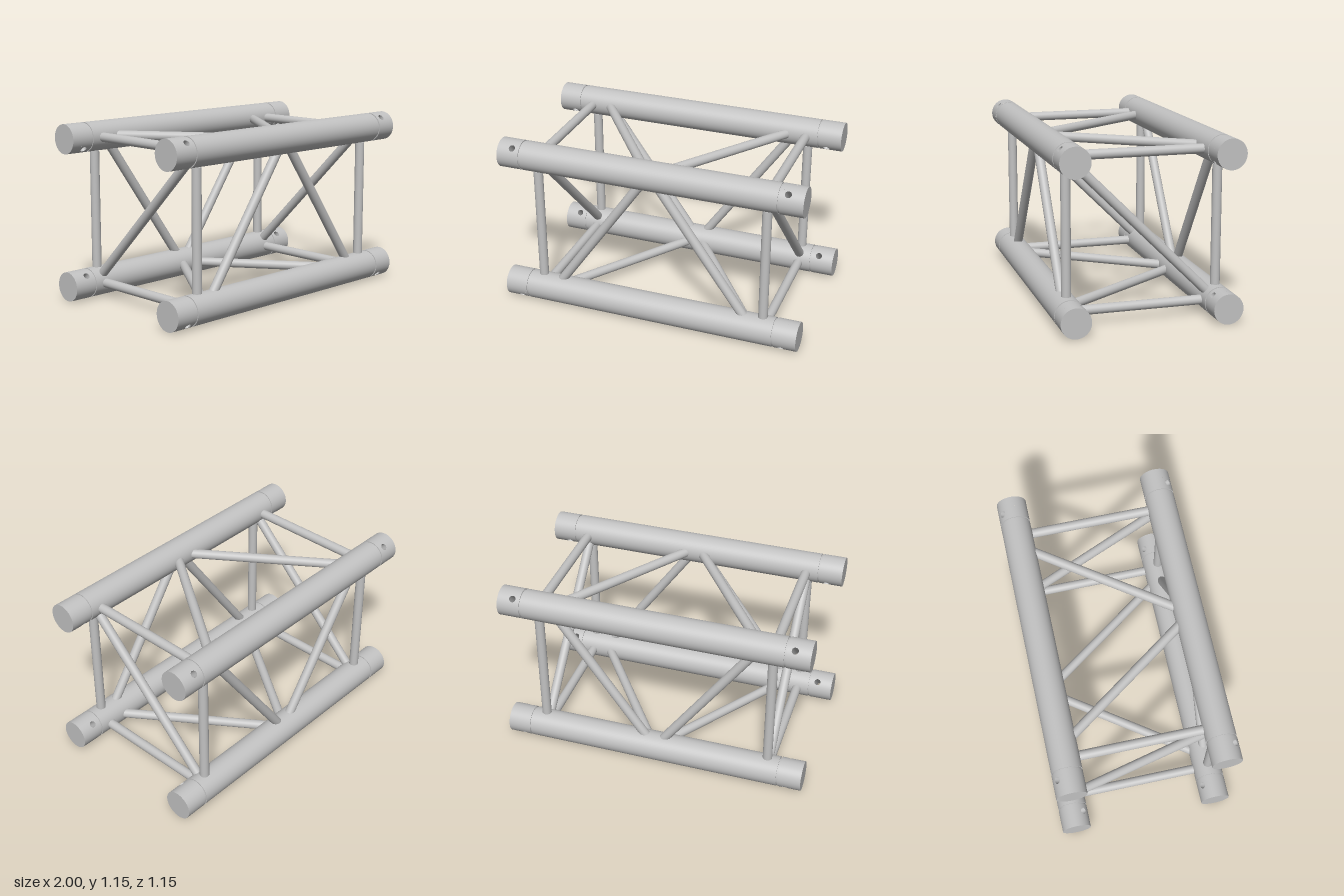
import * as THREE from 'three';
import { mergeGeometries } from 'three/addons/utils/BufferGeometryUtils.js';

const R = 0.0957;        // chord radius
const HALF = 0.4793;     // chord axis offset from the truss axis
const MID = 0.575;       // height of the truss axis
const BAR = 0.0305;      // brace radius
const SLEEVE = 0.852;    // where the end sleeve starts
const HOLE_X = 0.9, HOLE = 0.021, PAD = 0.032;

const aluminium = new THREE.MeshStandardMaterial({ color: 0xc2c2c2 });
aluminium.name = 'aluminium grey';

function mesh(name, geometry) {
  const m = new THREE.Mesh(geometry, aluminium);
  m.name = name;
  return m;
}

// Cylinder lying along x between x0 and x1
function rod(r, x0, x1, open = false, start = 0, sweep = Math.PI * 2) {
  const g = new THREE.CylinderGeometry(r, r, x1 - x0, sweep > 6 ? 64 : 28, 1, open, start, sweep);
  return g.rotateZ(-Math.PI / 2).translate((x0 + x1) / 2, 0, 0);
}

// Square piece of the sleeve wall around a pin hole, bent onto the cylinder
function holePatch() {
  const g = new THREE.RingGeometry(HOLE, PAD, 32, 3).rotateX(-Math.PI / 2);
  const p = g.attributes.position, n = g.attributes.normal;
  for (let i = 0; i < p.count; i++) {
    const x = p.getX(i), z = p.getZ(i), d = Math.hypot(x, z);
    const t = (d - HOLE) / (PAD - HOLE);
    const s = 1 + t * (d / Math.max(Math.abs(x), Math.abs(z)) - 1);
    const y = Math.sqrt(R * R - z * z * s * s);
    p.setXYZ(i, x * s, y, z * s);
    n.setXYZ(i, 0, y / R, z * s / R);
  }
  return g;
}

// Inner wall of the pin hole, running right through the sleeve
function holeWall() {
  const g = new THREE.CylinderGeometry(HOLE, HOLE, 2, 32, 1, true);
  const p = g.attributes.position;
  for (let i = 0; i < p.count; i++) {
    p.setY(i, Math.sign(p.getY(i)) * Math.sqrt(R * R - p.getZ(i) ** 2));
  }
  g.scale(-1, 1, 1);
  g.computeVertexNormals();
  return g.translate(HOLE_X, 0, 0);
}

// End sleeve at +x, with the hole along y
function sleeveGeometry() {
  const half = Math.PI / 2 - Math.asin(PAD / R);
  const x0 = HOLE_X - PAD, x1 = HOLE_X + PAD;
  return mergeGeometries([
    rod(R, SLEEVE, x0, true),
    rod(R, x1, 1, true),
    rod(R, x0, x1, true, -half, 2 * half),
    rod(R, x0, x1, true, Math.PI - half, 2 * half),
    holePatch().translate(HOLE_X, 0, 0),
    holePatch().rotateX(Math.PI).translate(HOLE_X, 0, 0),
    holeWall(),
    new THREE.CircleGeometry(R, 64).rotateY(Math.PI / 2).translate(1, 0, 0),
    new THREE.RingGeometry(0.085, R, 64).rotateY(-Math.PI / 2).translate(SLEEVE, 0, 0),
  ]);
}

export function createModel() {
  const truss = new THREE.Group();
  truss.name = 'boxTruss';

  const corner = (sy, sz) => ({ sy, sz, y: MID + sy * HALF, z: sz * HALF });
  const topFront = corner(1, 1), topBack = corner(1, -1);
  const bottomFront = corner(-1, 1), bottomBack = corner(-1, -1);

  // Four main tubes with a groove and a drilled sleeve at each end
  const body = rod(R, -0.84, 0.84);
  const core = rod(0.09, -0.857, 0.857);
  const sleeve = sleeveGeometry();
  for (const c of [topFront, topBack, bottomFront, bottomBack]) {
    const chord = new THREE.Group();
    chord.name = 'chord';
    chord.position.set(0, c.y, c.z);
    chord.rotation.x = Math.atan2(c.sz, c.sy);
    const otherSleeve = mesh('endSleeve', sleeve);
    otherSleeve.rotation.y = Math.PI;
    chord.add(mesh('chordTube', body), mesh('grooveCore', core), mesh('endSleeve', sleeve), otherSleeve);
    truss.add(chord);
  }

  // Brace from chord a to chord b, starting `gap` away from each chord axis
  function brace(name, a, xa, b, xb, gap) {
    const span = Math.hypot(b.y - a.y, b.z - a.z), k = gap / span;
    const p = new THREE.Vector3(xa, a.y + (b.y - a.y) * k, a.z + (b.z - a.z) * k);
    const q = new THREE.Vector3(xb, b.y + (a.y - b.y) * k, b.z + (a.z - b.z) * k);
    const dir = q.clone().sub(p);
    const m = mesh(name, new THREE.CylinderGeometry(BAR, BAR, dir.length(), 32));
    m.position.copy(p).add(q).multiplyScalar(0.5);
    m.quaternion.setFromUnitVectors(new THREE.Vector3(0, 1, 0), dir.normalize());
    truss.add(m);
  }

  // Each side: square bars at the ends and a pair of slanted braces
  const sides = [
    [bottomFront, topFront], [topBack, bottomBack],
    [topBack, topFront], [bottomFront, bottomBack],
  ];
  for (const s of [-1, 1]) {
    for (const [outer, inner] of sides) {
      brace('endBar', outer, s * 0.76, inner, s * 0.76, R);
      brace('slantedBrace', outer, s * 0.629, inner, s * 0.061, R - 0.02);
    }
    // Cross brace inside each end frame
    brace('endDiagonal', topFront, s * 0.76, bottomBack, s * 0.76, R - 0.003);
  }
  return truss;
}
